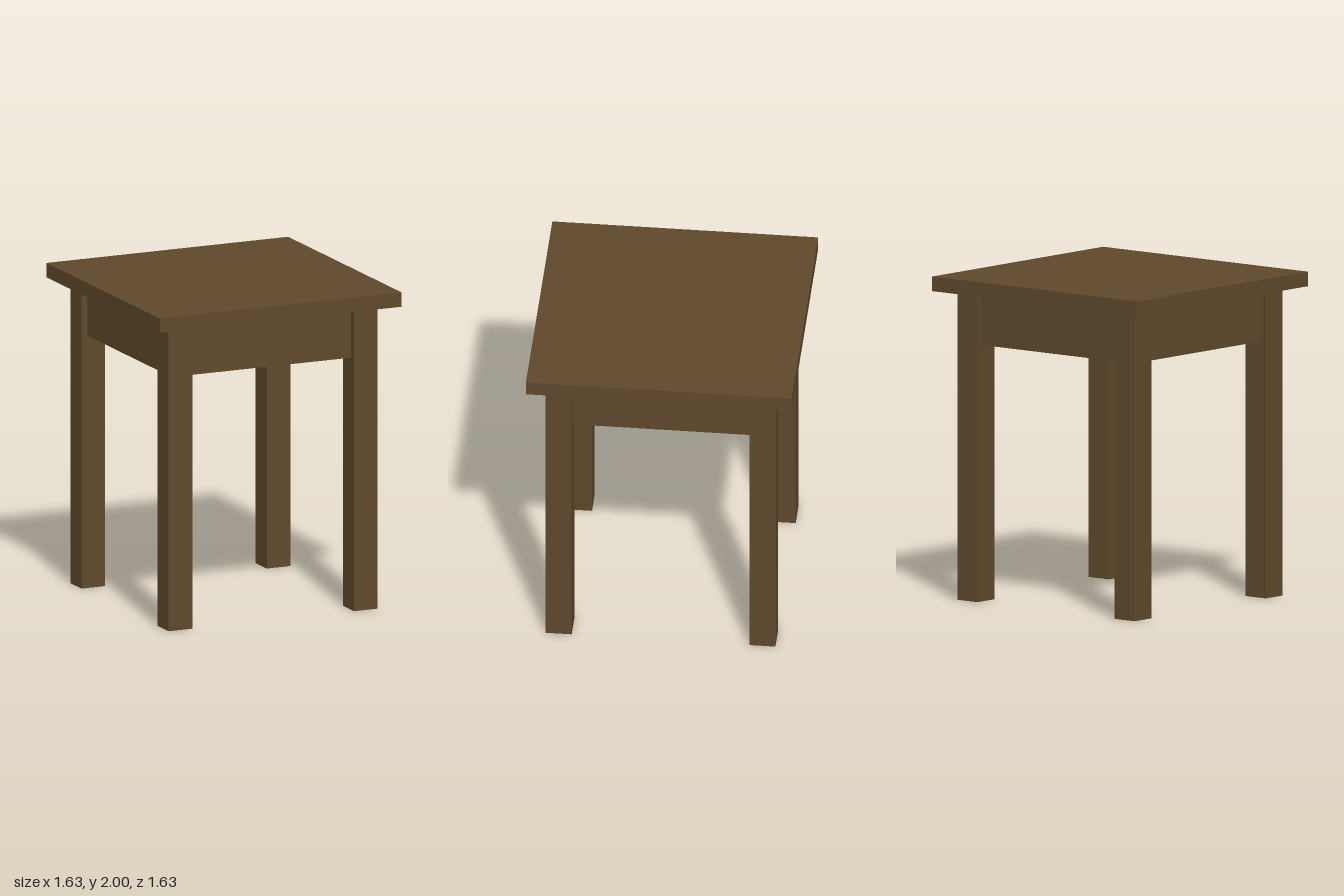
import * as THREE from 'three';

const wood = new THREE.MeshStandardMaterial({ color: 0x5f482b });
wood.name = 'brown wood';
const metal = new THREE.MeshStandardMaterial({ color: 0x95979c });
metal.name = 'grey metal';

function box(name, w, h, d, x, y, z) {
  const mesh = new THREE.Mesh(new THREE.BoxGeometry(w, h, d), wood);
  mesh.name = name;
  mesh.position.set(x, y, z);
  return mesh;
}

// Thin steel strip with two screw holes, running up +y from the origin
function plateGeometry(width, length, thickness) {
  const shape = new THREE.Shape();
  shape.moveTo(-width / 2, 0);
  shape.lineTo(width / 2, 0);
  shape.lineTo(width / 2, length);
  shape.lineTo(-width / 2, length);
  shape.closePath();
  for (const t of [0.38, 0.78]) {
    const hole = new THREE.Path();
    hole.absarc(0, length * t, 0.011, 0, Math.PI * 2, true);
    shape.holes.push(hole);
  }
  return new THREE.ExtrudeGeometry(shape, { depth: thickness, bevelEnabled: false, curveSegments: 8 });
}

// Angle bracket joining an apron's inner face to the underside of the top
function bracket(geometry, x, y, z) {
  const group = new THREE.Group();
  group.name = 'angleBracket';
  const upright = new THREE.Mesh(geometry, metal);
  upright.name = 'bracketUpright';
  upright.rotation.z = Math.PI;
  upright.position.z = -0.01;
  const flat = new THREE.Mesh(geometry, metal);
  flat.name = 'bracketFlat';
  flat.rotation.x = -Math.PI / 2;
  flat.position.y = -0.01;
  group.add(upright, flat);
  group.position.set(x, y, z);
  return group;
}

export function createModel() {
  const model = new THREE.Group();
  model.name = 'sideTable';
  const under = 1.91; // underside of the top
  const legSize = 0.16, legCentre = 0.626;
  const apronHeight = 0.325, apronDepth = 0.08;
  const span = 2 * legCentre - legSize;

  model.add(box('tableTop', 1.634, 2 - under, 1.634, 0, (2 + under) / 2, 0));

  // Four square legs
  for (const sx of [-1, 1]) {
    for (const sz of [-1, 1]) {
      model.add(box('leg', legSize, under, legSize, sx * legCentre, under / 2, sz * legCentre));
    }
  }

  // Four aprons centred on the legs, each with a pair of brackets inside
  const plate = plateGeometry(0.06, 0.14, 0.01);
  for (let i = 0; i < 4; i++) {
    const side = new THREE.Group();
    side.name = 'apronSide';
    side.add(box('apron', span, apronHeight, apronDepth, 0, under - apronHeight / 2, legCentre));
    for (const x of [-0.36, 0.36]) {
      side.add(bracket(plate, x, under, legCentre - apronDepth / 2));
    }
    side.rotation.y = i * Math.PI / 2;
    model.add(side);
  }
  return model;
}
